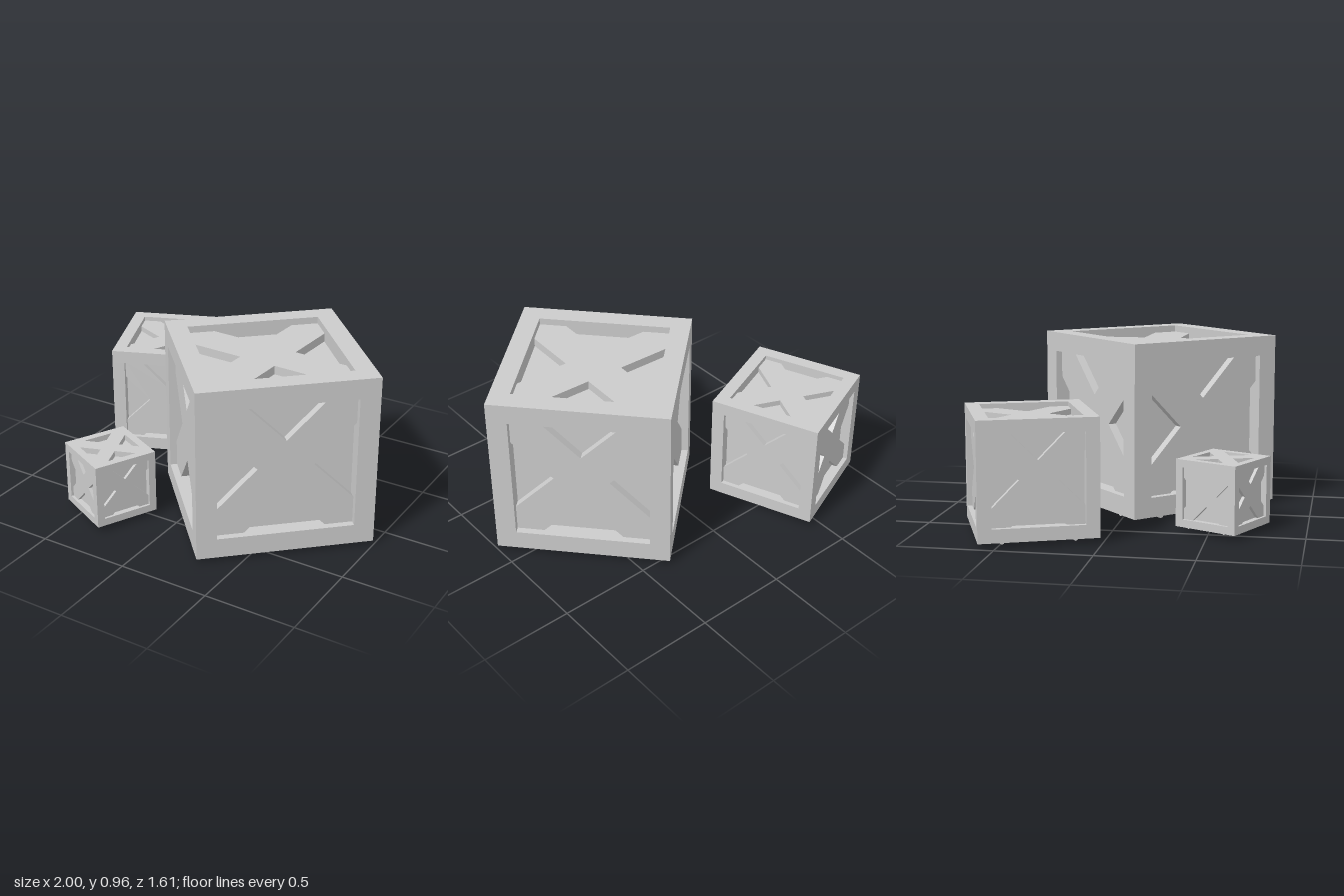
import * as THREE from 'three';

const WIDTH = 0.115;            // frame beam width on a unit crate
const INNER = 0.5 - WIDTH;      // half size of each opening
const PANEL = 0.09;             // depth of the inner panels
const RECESS = 0.04;            // depth of the crossed planks
const APEX = 0.157;             // distance from centre to each notch tip

const material = new THREE.MeshStandardMaterial({ color: 0xcccccc, flatShading: true });

function add(parent, name, geometry, x = 0, y = 0, z = 0) {
  const mesh = new THREE.Mesh(geometry, material);
  mesh.name = name;
  mesh.position.set(x, y, z);
  parent.add(mesh);
  return mesh;
}

function extrude(shape, depth) {
  return new THREE.ExtrudeGeometry(shape, { depth, bevelEnabled: false });
}

function square(Type, h) {
  return new Type([[-h, -h], [h, -h], [h, h], [-h, h]].map(p => new THREE.Vector2(...p)));
}

// Crossed planks filling the opening, with a triangular notch on each side
function crossShape() {
  const b = INNER - APEX;
  const points = [];
  for (let i = 0; i < 4; i++) {
    for (const [x, y] of [[INNER, -INNER], [INNER, -b], [APEX, 0], [INNER, b]]) {
      points.push(new THREE.Vector2(x, y).rotateAround(new THREE.Vector2(), i * Math.PI / 2));
    }
  }
  return new THREE.Shape(points);
}

// Unit crate centred on the origin
function createCrate(topRecess) {
  const crate = new THREE.Group();

  // Frame: square rings at top and bottom, posts between
  const ring = square(THREE.Shape, 0.5);
  ring.holes.push(square(THREE.Path, INNER));
  const ringGeometry = extrude(ring, WIDTH).rotateX(-Math.PI / 2);
  add(crate, 'topFrame', ringGeometry, 0, INNER, 0);
  add(crate, 'bottomFrame', ringGeometry, 0, -0.5, 0);
  const post = new THREE.BoxGeometry(WIDTH, 2 * INNER, WIDTH);
  const c = 0.5 - WIDTH / 2;
  for (const x of [-c, c]) for (const z of [-c, c]) add(crate, 'cornerPost', post, x, 0, z);

  // Inner box whose faces are the recessed panels
  const core = 2 * (0.5 - PANEL);
  add(crate, 'innerPanels', new THREE.BoxGeometry(core, core, core));

  // Crossed planks on the four sides and the top; the base stays open
  const cross = crossShape();
  const sidePlanks = extrude(cross, PANEL - RECESS).translate(0, 0, 0.5 - PANEL);
  for (let i = 0; i < 4; i++) add(crate, 'sidePlanks', sidePlanks).rotation.y = i * Math.PI / 2;
  const topPlanks = extrude(cross, PANEL - topRecess).translate(0, 0, 0.5 - PANEL);
  add(crate, 'topPlanks', topPlanks).rotation.x = -Math.PI / 2;

  // Small half-sunk bars under the base, two per side
  const foot = new THREE.CylinderGeometry(0.021, 0.021, 0.06, 8).rotateX(Math.PI / 2);
  for (let i = 0; i < 4; i++) {
    const side = new THREE.Group();
    side.name = 'feet';
    side.rotation.y = i * Math.PI / 2;
    for (const x of [-0.3, 0.3]) add(side, 'foot', foot, x, -0.5, 0.44);
    crate.add(side);
  }
  return crate;
}

export function createModel() {
  const model = new THREE.Group();
  model.name = 'crates';
  const crates = [
    { name: 'largeCrate', size: 0.94, x: 0.331, y: 0.02, z: 0.112, turn: 0.748 },
    { name: 'mediumCrate', size: 0.615, x: -0.603, y: 0.03, z: -0.41, turn: 0.387 },
    { name: 'smallCrate', size: 0.356, x: -0.38, y: 0.03, z: 0.564, turn: -0.451, topRecess: 0 },
  ];
  for (const { name, size, x, y, z, turn, topRecess = RECESS } of crates) {
    const crate = createCrate(topRecess);
    crate.name = name;
    crate.scale.setScalar(size);
    crate.position.set(x, y + size / 2, z);
    crate.rotation.y = turn;
    model.add(crate);
  }
  return model;
}
